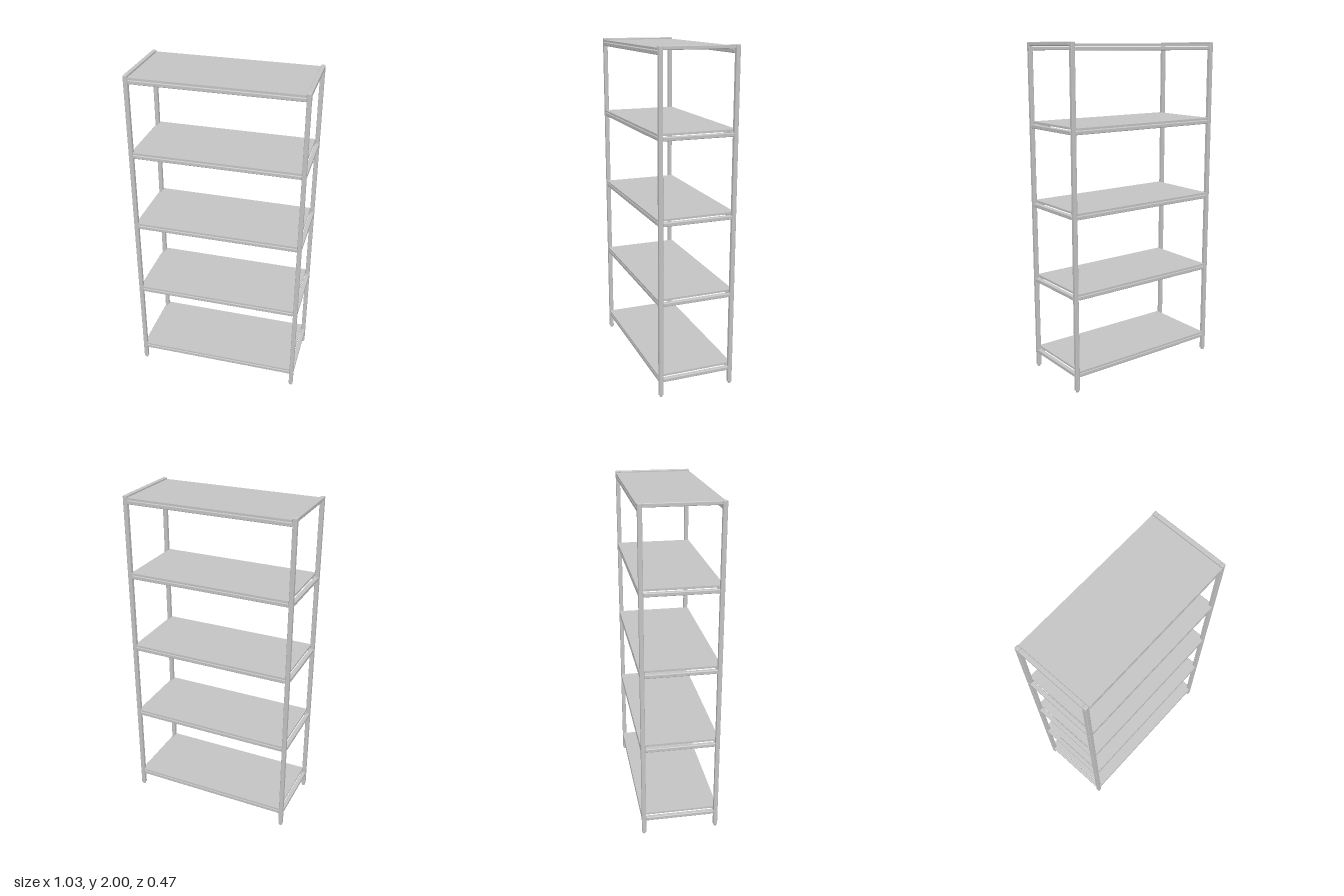
import * as THREE from 'three';
import { RoundedBoxGeometry } from 'three/addons/geometries/RoundedBoxGeometry.js';

export function createModel() {
  const model = new THREE.Group();
  model.name = 'shelvingUnit';
  const steel = new THREE.MeshStandardMaterial({ name: 'light grey steel', color: 0xc4c4c4 });

  const T = 0.025; // tube width
  const PX = 0.5; // post centres
  const PZ = 0.22;
  const levels = [0.13, 0.602, 1.073, 1.545, 1.99]; // board tops

  const add = (geometry, name, x, y, z) => {
    const mesh = new THREE.Mesh(geometry, steel);
    mesh.name = name;
    mesh.position.set(x, y, z);
    model.add(mesh);
    return mesh;
  };
  const tube = (w, h, d) => new RoundedBoxGeometry(w, h, d, 2, 0.004);

  // Parts shared by every level
  const boardGeo = new THREE.BoxGeometry(0.972, 0.012, 0.465);
  const frontRailGeo = tube(2 * PX - T, 0.022, T);
  const sideRailGeo = tube(T, 0.022, 2 * PZ - T);
  const screwGeo = new THREE.CylinderGeometry(0.006, 0.006, 0.003, 12);

  levels.forEach((top, i) => {
    const isTop = i === levels.length - 1;
    const railY = top - 0.026;
    add(boardGeo, 'shelfBoard', 0, top - 0.006, 0);
    for (const s of [-1, 1]) {
      add(frontRailGeo, s > 0 ? 'frontRail' : 'backRail', 0, railY, s * PZ);
      // The uppermost side rails close the frame above the board
      add(sideRailGeo, 'sideRail', s * PX, isTop ? 1.989 : railY, 0);
      // Screw heads on the outer sides of the posts
      for (const t of [-1, 1]) {
        add(screwGeo, 'screwHead', s * (PX + T / 2), railY, t * PZ).rotation.z = Math.PI / 2;
      }
    }
  });

  // Corner posts with small feet
  const postGeo = tube(T, 1.99, T);
  const footGeo = new THREE.CylinderGeometry(0.01, 0.009, 0.012, 16);
  for (const sx of [-1, 1]) {
    for (const sz of [-1, 1]) {
      add(postGeo, 'post', sx * PX, 1.005, sz * PZ);
      add(footGeo, 'foot', sx * PX, 0.006, sz * PZ);
    }
  }
  return model;
}
